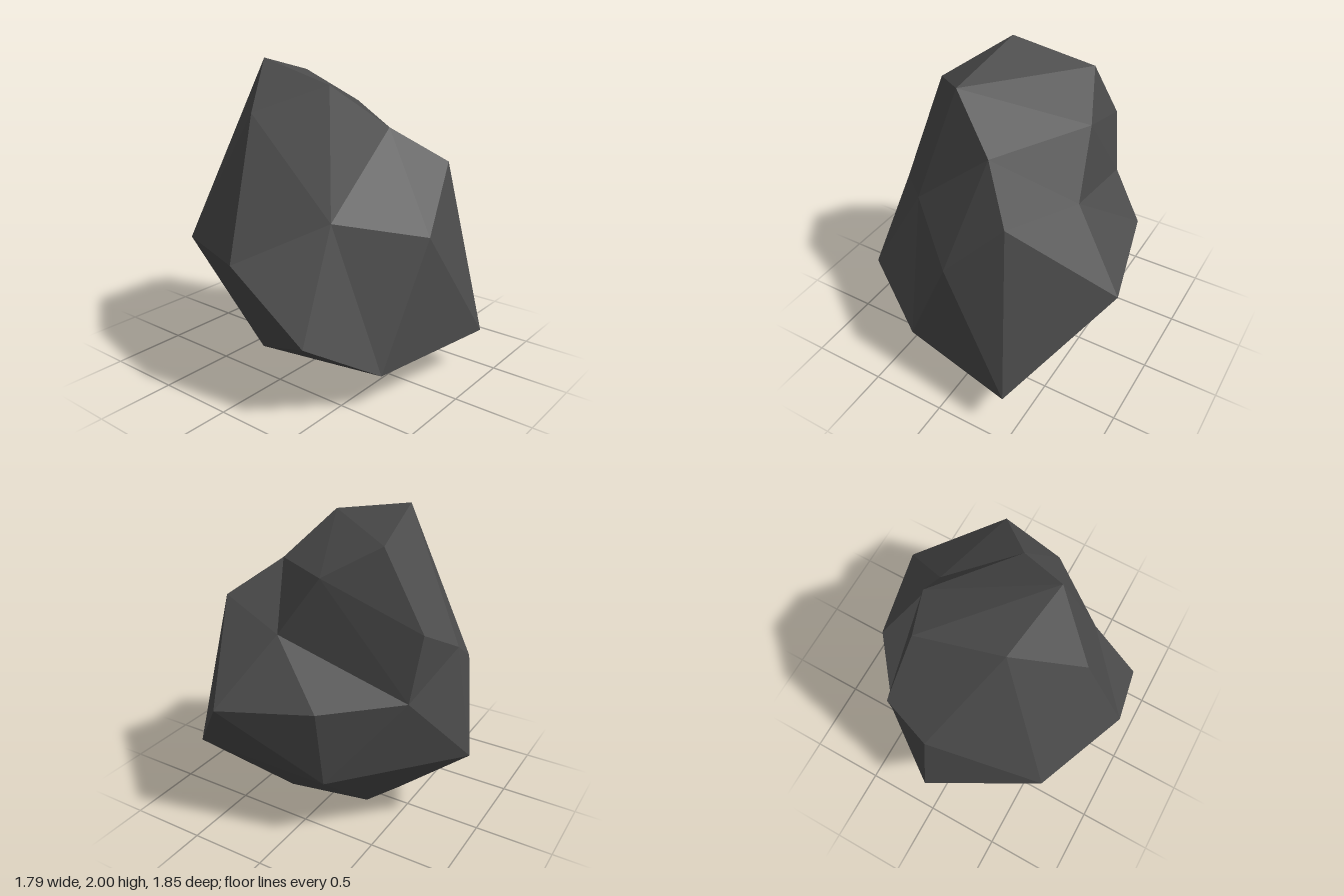
import * as THREE from 'three';

// Corner points of the boulder, grouped from crown to base
const P = {
  // crown
  crownPeak: [-0.23, 2.0, -0.33], crownRight: [0.29, 1.88, -0.43],
  crownFront: [-0.28, 1.88, 0.23], crownLow: [-0.61, 1.73, -0.08],
  // notch and ledge
  notchTop: [0.44, 1.68, -0.1], notchFront: [0.055, 1.61, 0.425], notchPit: [0.51, 1.3, 0.16],
  ledgeFront: [0.32, 1.39, 0.69], ledgeTip: [0.89, 0.9, 0.37], ledgeBack: [0.74, 0.98, -0.25],
  // back
  backHigh: [0.34, 1.43, -0.72], backSide: [0.4, 1.01, -0.67],
  backMid: [0.05, 1.27, -0.81], backLow: [0.05, 0.56, -0.93], backCorner: [-0.65, 0.88, -0.61],
  // front and flanks
  cheek: [-0.49, 1.13, 0.41], brow: [-0.04, 1.01, 0.795], flank: [-0.9, 0.9, 0],
  flankLow: [-0.84, 0.5, 0.49], chin: [-0.4, 0.23, 0.72], toe: [0.43, 0.28, 0.92],
  sideLow: [0.66, 0.465, -0.25],
  // base
  baseFront: [0.24, 0.02, 0.28], baseBack: [-0.14, 0, -0.36],
  baseSide: [-0.51, 0.2, -0.13], baseRise: [0.29, 0.155, -0.345],
};

// Facets as triangle fans: a hub, then the rim around it (closed if the ends match)
const fans = [
  'sideLow: backLow backSide ledgeBack ledgeTip toe baseFront baseRise backLow',
  'notchPit: notchFront ledgeFront ledgeTip ledgeBack backSide notchTop notchFront',
  'cheek: crownFront notchFront brow chin flankLow flank crownLow crownFront',
  'backCorner: crownLow crownPeak backMid backLow baseBack baseSide flank crownLow',
  'crownRight: notchTop backHigh backMid crownPeak crownFront notchTop',
  'chin: brow toe baseFront baseBack baseSide flankLow',
  'ledgeFront: notchFront brow toe ledgeTip',
  'backSide: backLow backMid backHigh notchTop',
  'baseBack: baseFront baseRise backLow',
  'crownFront: notchFront notchTop',
  'crownFront: crownLow crownPeak',
  'baseSide: flankLow flank',
];

// Expands the fans into triangles, turning each one to face away from the core
function facetGeometry() {
  const core = new THREE.Vector3(0, 0.95, 0);
  const points = [];
  const tri = new THREE.Triangle();
  const normal = new THREE.Vector3();
  const middle = new THREE.Vector3();
  for (const fan of fans) {
    const [hub, rimText] = fan.split(': ');
    const rim = rimText.split(' ');
    for (let i = 0; i + 1 < rim.length; i++) {
      tri.a.fromArray(P[hub]);
      tri.b.fromArray(P[rim[i]]);
      tri.c.fromArray(P[rim[i + 1]]);
      tri.getNormal(normal);
      tri.getMidpoint(middle).sub(core);
      const outward = normal.dot(middle) > 0;
      points.push(tri.a.clone());
      if (outward) points.push(tri.b.clone(), tri.c.clone());
      else points.push(tri.c.clone(), tri.b.clone());
    }
  }
  const geometry = new THREE.BufferGeometry().setFromPoints(points);
  geometry.computeVertexNormals();
  return geometry;
}

export function createModel() {
  const stone = new THREE.MeshStandardMaterial({ color: 0x4c4c4c, flatShading: true });
  stone.name = 'dark grey stone';

  const boulder = new THREE.Mesh(facetGeometry(), stone);
  boulder.name = 'boulder';

  const group = new THREE.Group();
  group.name = 'rock';
  group.add(boulder);
  return group;
}
